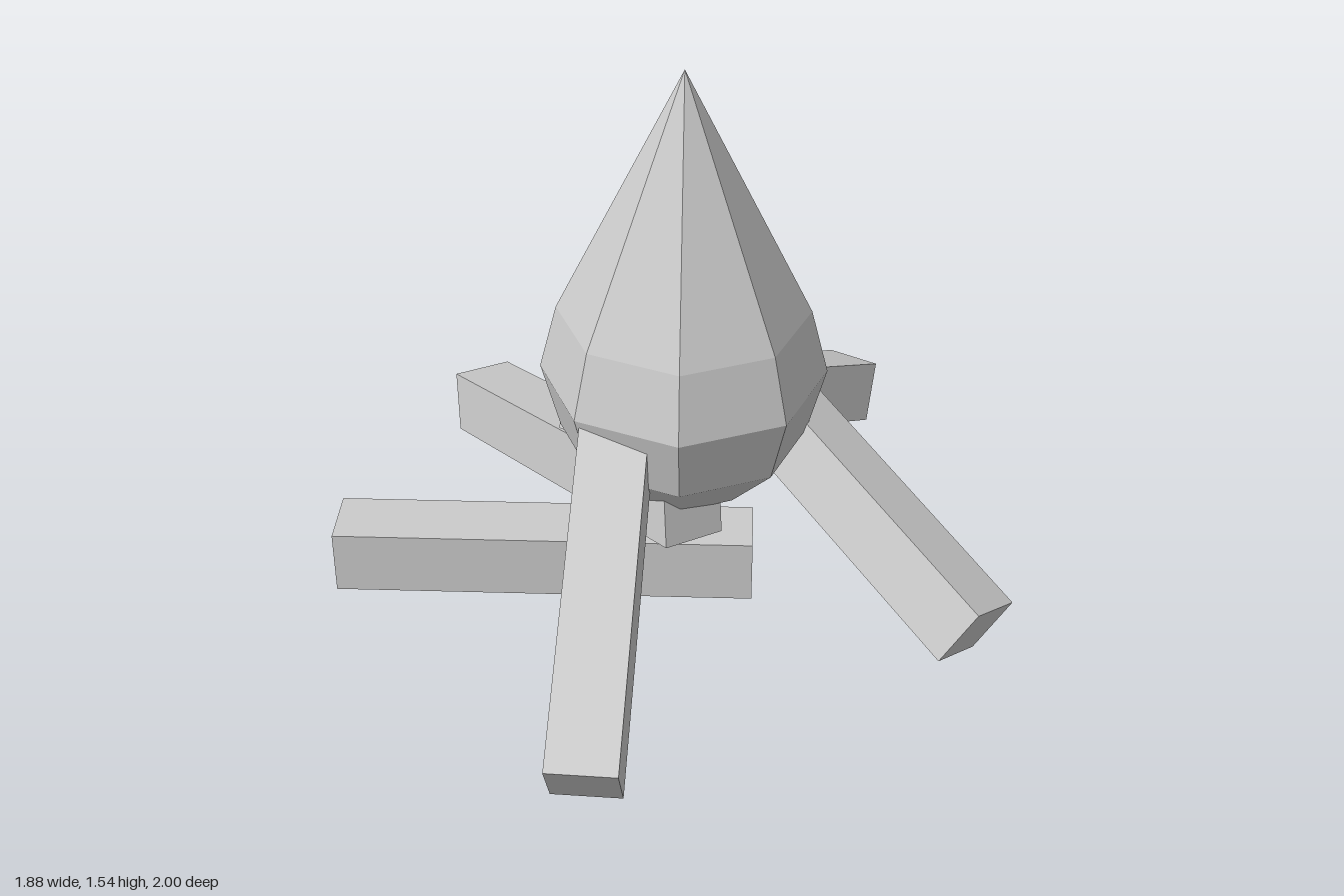
import * as THREE from 'three';

const material = new THREE.MeshStandardMaterial({ color: 0xcccccc, flatShading: true });
const THICKNESS = 0.185;
const LENGTH = 1.18;

// Square log running from the centre of its outer end along `dir`;
// `width` is the rough sideways direction, which sets the roll.
function makeLog(name, outer, dir, width) {
  const axis = new THREE.Vector3(...dir).normalize();
  const up = new THREE.Vector3().crossVectors(axis, new THREE.Vector3(...width)).normalize();
  const side = new THREE.Vector3().crossVectors(up, axis);
  const log = new THREE.Mesh(new THREE.BoxGeometry(THICKNESS, THICKNESS, LENGTH), material);
  log.name = name;
  log.quaternion.setFromRotationMatrix(new THREE.Matrix4().makeBasis(side, up, axis));
  log.position.set(...outer).addScaledVector(axis, LENGTH / 2);
  return log;
}

export function createModel() {
  const campfire = new THREE.Group();
  campfire.name = 'campfire';

  // Flame: eight-sided ball drawn up to a point
  const profile = [
    [0, 0.27], [0.197, 0.322], [0.342, 0.472], [0.393, 0.662], [0.345, 0.848], [0, 1.54],
  ].map(([r, y]) => new THREE.Vector2(r, y));
  const flame = new THREE.Mesh(new THREE.LatheGeometry(profile, 8), material);
  flame.name = 'flame';
  flame.position.set(0.04, 0, -0.07);
  campfire.add(flame);

  // Logs: one flat on the ground, four leaning in towards the flame
  campfire.add(
    makeLog('groundLog', [-0.94, 0.0925, 0], [1, 0, 0], [0, 0, 1]),
    makeLog('frontLog', [-0.17, 0.08, 0.95], [0.05, 0.62, -1.01], [1, 0, 0.05]),
    makeLog('backLeftLog', [0.55, 0.1, -0.905], [-0.664, 0.342, 0.664], [0.68, 0.16, 0.7]),
    makeLog('backRightLog', [-0.62, 0.1, -0.797], [0.697, 0.235, 0.93], [0.14, -0.015, -0.1]),
    makeLog('frontLeftLog', [0.84, 0.108, 0.35], [-0.633, 0.395, -0.667], [-0.585, 0.32, 0.745]),
  );
  return campfire;
}
